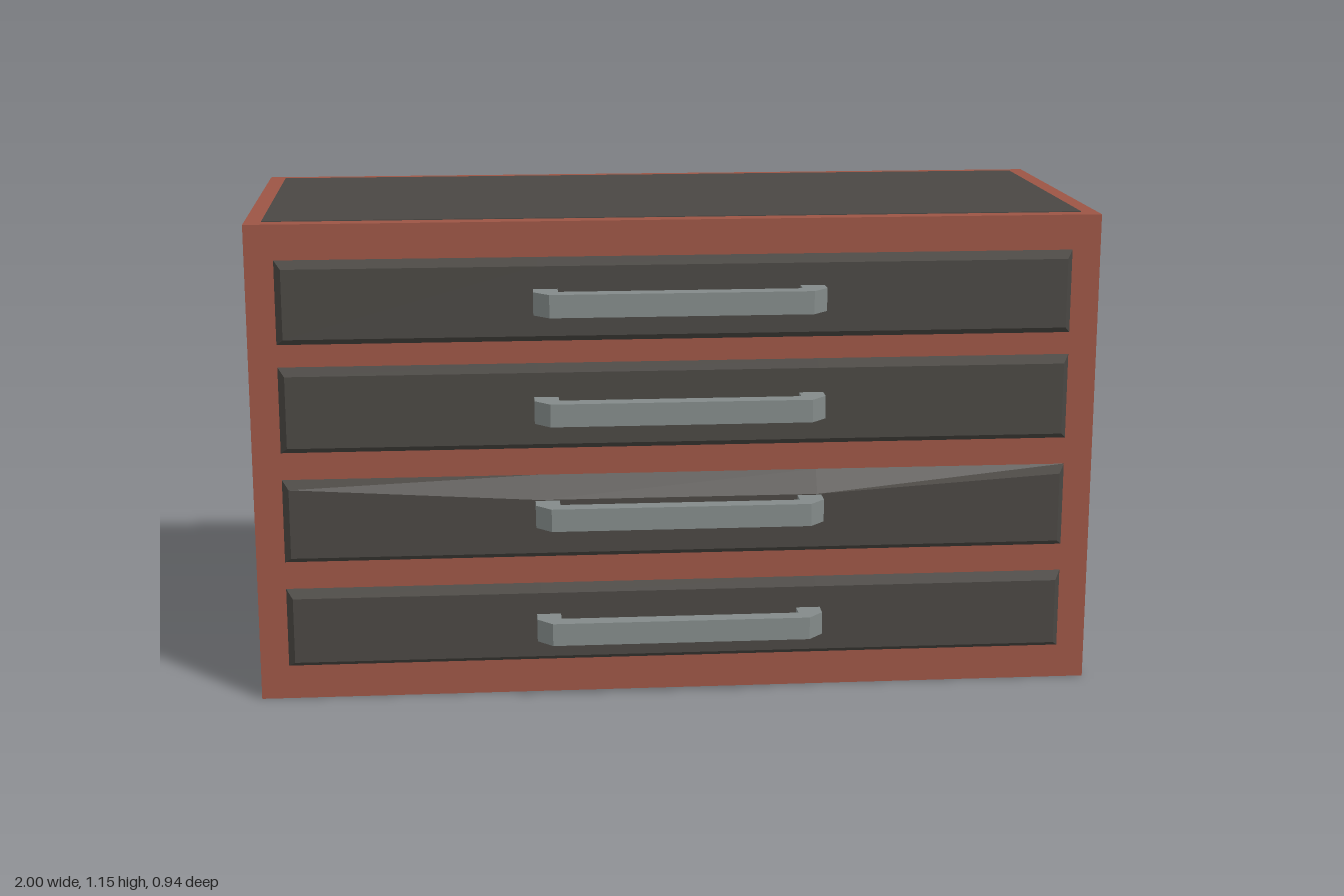
import * as THREE from 'three';

const wood = new THREE.MeshStandardMaterial({ color: 0x9c5545 });
const dark = new THREE.MeshStandardMaterial({ color: 0x4a4743, flatShading: true });
const metal = new THREE.MeshStandardMaterial({ color: 0x838a89, flatShading: true });

const FRONT = 0.36, FACE = 0.39;

function addMesh(parent, name, geometry, material) {
  const mesh = new THREE.Mesh(geometry, material);
  mesh.name = name;
  parent.add(mesh);
  return mesh;
}

// Bevelled drawer front: a back loop joined to a smaller front loop, then capped.
// dipY lowers the middle of the front loop's top edge.
function drawerFront(y0, y1, dipY) {
  const bevel = 0.017, wide = 0.933, top = y1 - bevel;
  const x = wide - bevel;
  const back = [[-wide, y0], [wide, y0], [wide, y1], [0.33, y1], [-0.33, y1], [-wide, y1]];
  const front = [[-x, y0 + bevel], [x, y0 + bevel], [x, top], [0.33, dipY ?? top], [-0.33, dipY ?? top], [-x, top]];
  const n = back.length;
  const positions = [
    ...back.flatMap(([px, py]) => [px, py, FRONT]),
    ...front.flatMap(([px, py]) => [px, py, FACE]),
  ];
  const index = [];
  for (let i = 0; i < n; i++) {
    const j = (i + 1) % n;
    index.push(i, j, n + j, i, n + j, n + i);
  }
  const outline = front.map(([px, py]) => new THREE.Vector2(px, py));
  for (const [a, b, c] of THREE.ShapeUtils.triangulateShape(outline, [])) index.push(n + a, n + b, n + c);
  const geometry = new THREE.BufferGeometry();
  geometry.setAttribute('position', new THREE.Float32BufferAttribute(positions, 3));
  geometry.setIndex(index);
  const flat = geometry.toNonIndexed();
  flat.computeVertexNormals();
  return flat;
}

// Bracket handle outline seen from above (x, z), extruded vertically
function handleGeometry(height) {
  const half = [[0.283, FACE], [0.34, FACE], [0.34, 0.432], [0.305, 0.47]];
  const points = [
    ...half,
    ...half.map(([x, z]) => [-x, z]).reverse(),
    [-0.283, 0.43], [0.283, 0.43],
  ];
  const shape = new THREE.Shape(points.map(([x, z]) => new THREE.Vector2(x, -z)));
  const geometry = new THREE.ExtrudeGeometry(shape, { depth: height, bevelEnabled: false });
  geometry.translate(0, 0, -height / 2);
  geometry.rotateX(-Math.PI / 2);
  return geometry;
}

export function createModel() {
  const model = new THREE.Group();
  model.name = 'chestOfDrawers';

  // Cabinet and inlaid top
  const height = 1.145;
  addMesh(model, 'cabinet', new THREE.BoxGeometry(2, height, 0.83), wood).position.set(0, height / 2, -0.055);
  addMesh(model, 'topPanel', new THREE.BoxGeometry(1.92, 0.01, 0.75), dark).position.set(0, height - 0.003, -0.057);

  // Drawers: bottom, top, handle height, optional dip in the upper edge
  const drawers = [
    [0.082, 0.274, 0.178],
    [0.340, 0.541, 0.458, 0.487],
    [0.606, 0.811, 0.709],
    [0.864, 1.062, 0.965],
  ];
  const handle = handleGeometry(0.054);
  drawers.forEach(([y0, y1, handleY, dipY], i) => {
    const drawer = new THREE.Group();
    drawer.name = `drawer${i + 1}`;
    addMesh(drawer, 'drawerFront', drawerFront(y0, y1, dipY), dark);
    addMesh(drawer, 'handle', handle, metal).position.y = handleY;
    model.add(drawer);
  });

  return model;
}
